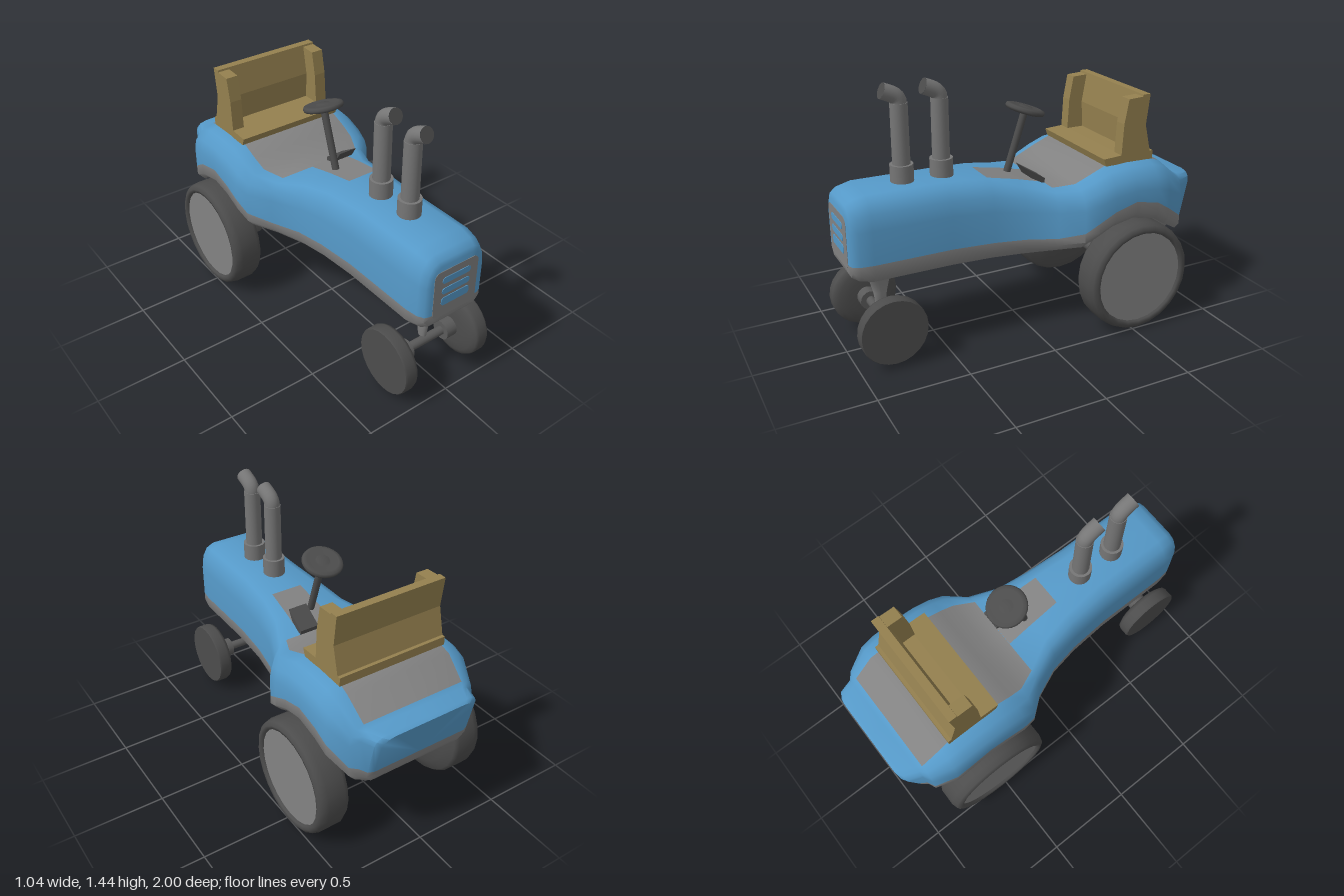
import * as THREE from 'three';
import { toCreasedNormals } from 'three/addons/utils/BufferGeometryUtils.js';

const material = (name, color) => {
  const m = new THREE.MeshStandardMaterial({ color });
  m.name = name;
  return m;
};
const add = (parent, name, geometry, mat) => {
  const mesh = new THREE.Mesh(geometry, mat);
  mesh.name = name;
  parent.add(mesh);
  return mesh;
};

// Hull stations from rear to front:
// z, half width, top half width, side bottom y, band top y, top y, corner height
const STATIONS = [
  [-1.00, 0.28, 0.21, 0.51, 0.56, 0.79, 0.05],
  [-0.98, 0.31, 0.24, 0.48, 0.56, 0.80, 0.05],
  [-0.90, 0.335, 0.28, 0.475, 0.565, 0.80, 0.06],
  [-0.87, 0.38, 0.30, 0.49, 0.58, 0.81, 0.10],
  [-0.75, 0.432, 0.31, 0.56, 0.665, 0.91, 0.14],
  [-0.67, 0.44, 0.305, 0.61, 0.715, 0.935, 0.14],
  [-0.53, 0.44, 0.305, 0.64, 0.745, 0.938, 0.13],
  [-0.40, 0.44, 0.305, 0.615, 0.71, 0.93, 0.14],
  [-0.30, 0.437, 0.305, 0.565, 0.66, 0.89, 0.13],
  [-0.22, 0.42, 0.30, 0.52, 0.61, 0.855, 0.12],
  [-0.11, 0.33, 0.25, 0.49, 0.57, 0.836, 0.12],
  [0.05, 0.26, 0.17, 0.475, 0.57, 0.875, 0.15],
  [0.22, 0.23, 0.14, 0.475, 0.575, 0.908, 0.16],
  [0.45, 0.213, 0.12, 0.475, 0.58, 0.922, 0.16],
  [0.88, 0.21, 0.12, 0.475, 0.58, 0.926, 0.16],
  [0.95, 0.20, 0.115, 0.49, 0.58, 0.91, 0.15],
  [0.985, 0.182, 0.11, 0.51, 0.58, 0.885, 0.13],
  [0.995, 0.155, 0.10, 0.53, 0.58, 0.86, 0.10],
];

function hullGeometry() {
  const pos = [], gray = [], blue = [], N = 20;
  for (const [z, w, xt, ys, yg, yt, h] of STATIONS) {
    const belly = Math.abs(z + 0.03) > 0.9 ? ys : 0.47;
    const lean = Math.max(0, (-z - 0.88) * 2.1);
    const inner = Math.min(w * 0.7, 0.26);
    const half = [[0, belly], [inner, belly], [inner + 0.02, ys], [w - 0.035, ys], [w, ys + 0.04], [w, yg]];
    for (let k = 0; k <= 3; k++) {
      const a = (k / 3) * Math.PI / 2;
      half.push([xt + (w - xt) * Math.cos(a), yt - h + h * Math.sin(a)]);
    }
    half.push([0, yt]);
    for (let j = 0; j < N; j++) {
      const [x, y] = half[j <= 10 ? j : N - j];
      pos.push(j <= 10 ? x : -x, y, z + lean * (yt - y));
    }
  }
  const last = STATIONS.length - 1;
  for (let j = 0; j < N; j++) {
    const e = j < 10 ? j : N - 1 - j, k = (j + 1) % N;
    for (let s = 0; s < last; s++) {
      const saddle = e === 9 && STATIONS[s][0] > -0.88 && STATIONS[s + 1][0] < -0.1;
      const a = s * N + j, b = s * N + k, c = a + N, d = b + N;
      (e < 5 || saddle ? gray : blue).push(a, b, d, a, d, c);
    }
    const cap = e < 5 ? gray : blue, rear = (last + 1) * N;
    cap.push(rear, k, j, rear + 1, last * N + j, last * N + k);
  }
  pos.push(0, 0.56, -0.9425, 0, 0.58, 0.995);
  const g = new THREE.BufferGeometry();
  g.setAttribute('position', new THREE.Float32BufferAttribute(pos, 3));
  g.setIndex([...blue, ...gray]);
  g.addGroup(0, blue.length, 0);
  g.addGroup(blue.length, gray.length, 1);
  return toCreasedNormals(g, 0.85);
}

// Rounded rectangle plate facing +z
function plate(w, h, r, depth) {
  const s = new THREE.Shape(), x = w / 2, y = h / 2;
  s.absarc(x - r, y - r, r, 0, Math.PI / 2);
  s.absarc(-x + r, y - r, r, Math.PI / 2, Math.PI);
  s.absarc(-x + r, -y + r, r, Math.PI, Math.PI * 1.5);
  s.absarc(x - r, -y + r, r, Math.PI * 1.5, Math.PI * 2);
  return new THREE.ExtrudeGeometry(s, { depth, bevelEnabled: false, curveSegments: 6 });
}

// Side profile of [z, y] points extruded across x
function across(points, width, x = 0) {
  const s = new THREE.Shape(points.map(p => new THREE.Vector2(...p)));
  return new THREE.ExtrudeGeometry(s, { depth: width, bevelEnabled: false })
    .translate(0, 0, -width / 2).rotateY(-Math.PI / 2).translate(x, 0, 0);
}

const lathe = (points, sides) =>
  new THREE.LatheGeometry(points.map(p => new THREE.Vector2(...p)), sides);

export function createModel() {
  const model = new THREE.Group();
  model.name = 'tractor';
  const blue = material('blue paint', 0x5599c8);
  const gray = material('gray trim', 0x828282);
  const pipeGray = material('exhaust gray', 0x767676);
  const dark = material('dark rubber', 0x4c4c4c);
  const axleGray = material('axle gray', 0x5a5a5a);
  const tan = material('tan seat', 0x94804f);

  add(model, 'body', hullGeometry(), [blue, gray]);

  // Grille with three slots
  add(model, 'grille', plate(0.28, 0.28, 0.035, 0.004), gray).position.set(0, 0.69, 0.993);
  [0.77, 0.705, 0.642].forEach((y, i) =>
    add(model, 'grilleSlot', plate(0.18, i < 2 ? 0.036 : 0.048, 0.017, 0.003), blue).position.set(0, y, 0.997));

  // Floor strip following the cowl
  const strip = new THREE.BufferGeometry(), sp = [], si = [];
  [[-0.11, 0.836], [0.05, 0.875], [0.22, 0.908]].forEach(([z, y], i) => {
    sp.push(-0.06 + 0.03 * (z + 0.11), y + 0.004, z, 0.16 - 0.08 * (z + 0.11), y + 0.004, z);
    if (i) si.push(2 * i - 2, 2 * i, 2 * i - 1, 2 * i - 1, 2 * i, 2 * i + 1);
  });
  strip.setAttribute('position', new THREE.Float32BufferAttribute(sp, 3));
  strip.setIndex(si);
  strip.computeVertexNormals();
  add(model, 'floorStrip', strip, gray);

  // Exhaust stacks
  for (const z of [0.64, 0.42]) {
    const stack = new THREE.Group();
    stack.name = 'exhaust';
    stack.position.z = z;
    model.add(stack);
    add(stack, 'exhaustBase', new THREE.CylinderGeometry(0.062, 0.062, 0.12, 20), pipeGray).position.y = 0.957;
    add(stack, 'exhaustPipe', new THREE.CylinderGeometry(0.046, 0.047, 0.34, 20), pipeGray).position.y = 1.17;
    const bend = new THREE.CubicBezierCurve3(new THREE.Vector3(0, 1.335, 0), new THREE.Vector3(0, 1.375, 0),
      new THREE.Vector3(0, 1.385, 0.03), new THREE.Vector3(0, 1.408, 0.088));
    add(stack, 'exhaustBend', new THREE.TubeGeometry(bend, 8, 0.043, 20), pipeGray);
    const end = add(stack, 'exhaustOpening', new THREE.CircleGeometry(0.042, 20), dark);
    end.position.set(0, 1.408, 0.088);
    end.rotation.x = -0.38;
  }

  // Steering column, wheel and pedal
  const steering = new THREE.Group();
  steering.name = 'steering';
  steering.position.set(0, 0.86, 0.04);
  steering.rotation.x = -0.32;
  model.add(steering);
  add(steering, 'steeringColumn', new THREE.CylinderGeometry(0.02, 0.02, 0.37, 12), dark).position.y = 0.185;
  add(steering, 'steeringWheel', lathe([[0, -0.015], [0.04, -0.015], [0.085, -0.018], [0.105, -0.012], [0.111, 0],
    [0.105, 0.013], [0.085, 0.018], [0.04, 0.008], [0.036, 0.018], [0, 0.018]], 28), dark).position.y = 0.37;
  add(model, 'pedal', across([[0.005, 0.935], [-0.03, 0.875], [-0.11, 0.83], [-0.115, 0.86]], 0.11, 0.105), dark);

  // Bench seat
  add(model, 'seatBase', across([[-0.385, 0.972], [-0.4, 0.93], [-0.7, 0.93], [-0.7, 0.978], [-0.5, 0.978]], 0.64), tan);
  add(model, 'seatBack', across([[-0.6, 0.96], [-0.59, 1.13], [-0.62, 1.3], [-0.665, 1.3],
    [-0.645, 1.13], [-0.685, 0.96]], 0.64), tan);
  for (const side of [1, -1])
    add(model, 'seatWing', across([[-0.495, 0.96], [-0.505, 1.15], [-0.53, 1.285], [-0.64, 1.29],
      [-0.625, 1.13], [-0.65, 0.96]], 0.07, side * 0.285), tan);

  // Axles with their struts
  const strutProfile = [[0, 0.215], [0.016, 0.235], [0.022, 0.32], [0.034, 0.4], [0.065, 0.45], [0.11, 0.485]];
  const alongX = g => g.rotateZ(-Math.PI / 2);
  const axles = [
    { name: 'rear', y: 0.32, z: -0.53, rod: 0.045, collar: 0.095, from: 0.2, to: 0.31, rim: 0.264, rimX: 0.5,
      rimMat: gray, tyre: [[0.06, 0.30], [0.14, 0.303], [0.24, 0.325], [0.30, 0.345], [0.315, 0.37], [0.316, 0.47],
        [0.306, 0.505], [0.285, 0.518], [0.266, 0.514], [0.262, 0.495]] },
    { name: 'front', y: 0.215, z: 0.815, rod: 0.025, collar: 0.055, from: 0.115, to: 0.19, rim: 0.18, rimX: 0.28,
      rimMat: dark, tyre: [[0.03, 0.18], [0.1, 0.181], [0.15, 0.19], [0.178, 0.203], [0.185, 0.22], [0.185, 0.27],
        [0.179, 0.28]] },
  ];
  for (const a of axles) {
    const axle = new THREE.Group();
    axle.name = a.name + 'Axle';
    axle.position.set(0, a.y, a.z);
    model.add(axle);
    add(axle, a.name + 'Rod', alongX(new THREE.CylinderGeometry(a.rod, a.rod, a.from * 2 + 0.05, 16)), axleGray);
    for (const turn of [0, Math.PI]) {
      const wheel = new THREE.Group();
      wheel.name = a.name + 'Wheel';
      wheel.rotation.y = turn;
      axle.add(wheel);
      add(wheel, 'tyre', alongX(lathe(a.tyre, 24)), dark);
      add(wheel, 'wheelDisc', new THREE.CircleGeometry(a.rim, 24).rotateY(Math.PI / 2).translate(a.rimX, 0, 0), a.rimMat);
      const collar = new THREE.CylinderGeometry(a.collar, a.collar, a.to - a.from, 16);
      add(wheel, 'hubCollar', alongX(collar).translate((a.from + a.to) / 2, 0, 0), axleGray);
    }
    const strut = add(model, a.name + 'Strut', lathe(strutProfile, 20), gray);
    strut.position.z = a.z - 0.02;
    strut.scale.z = 1.7;
  }
  return model;
}
